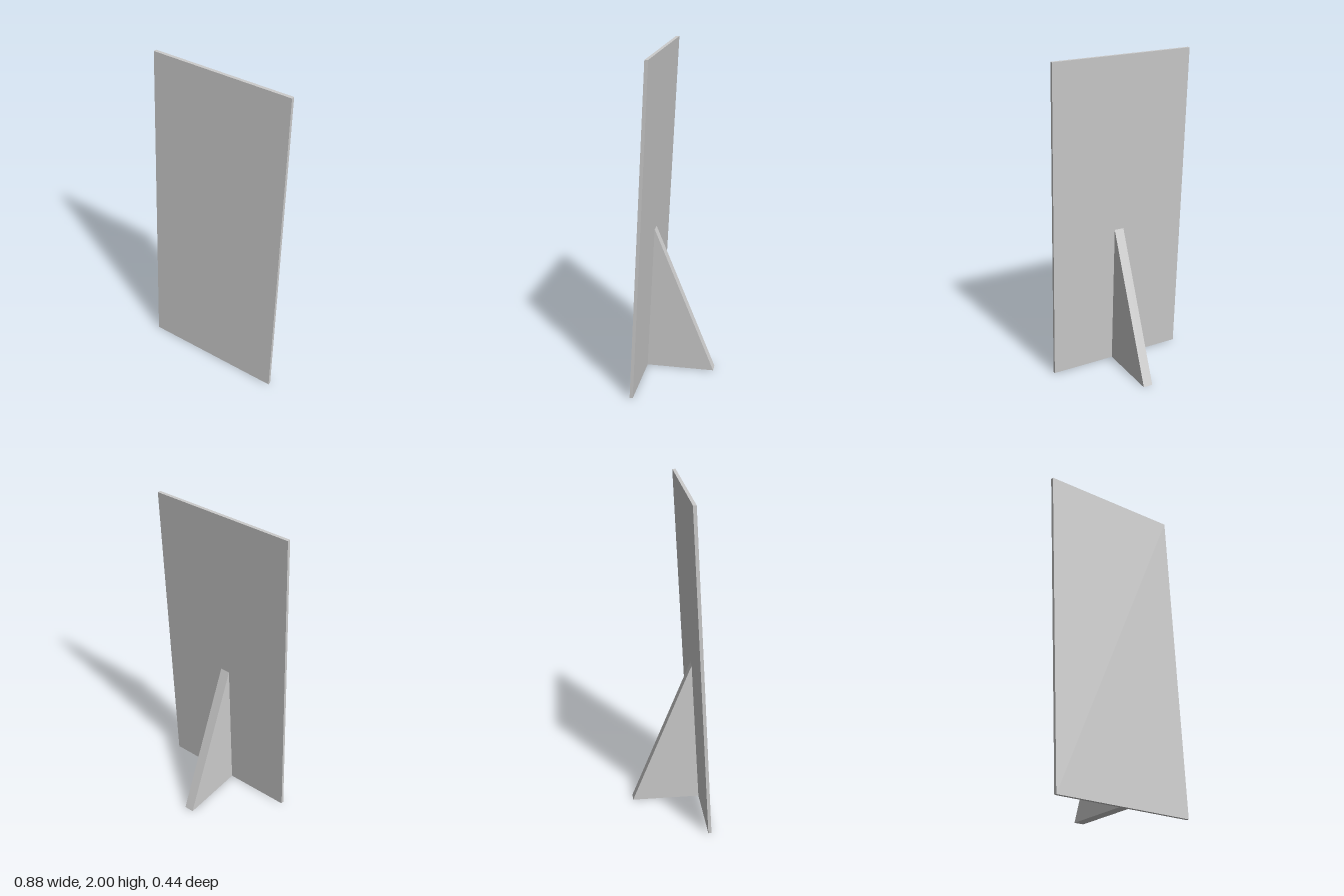
import * as THREE from 'three';

const material = new THREE.MeshStandardMaterial({ color: 0xcccccc, flatShading: true });

// Extrude a side profile of [z, y] points across x, centred on x = 0
function sidePart(name, points, width) {
  const shape = new THREE.Shape(points.map(([z, y]) => new THREE.Vector2(z, y)));
  const geometry = new THREE.ExtrudeGeometry(shape, { depth: width, bevelEnabled: false });
  geometry.translate(0, 0, -width / 2);
  geometry.rotateY(-Math.PI / 2);
  const mesh = new THREE.Mesh(geometry, material);
  mesh.name = name;
  return mesh;
}

export function createModel() {
  const group = new THREE.Group();
  group.name = 'standingPanel';

  // Thin panel leaning slightly backwards
  group.add(sidePart('panel', [[0.2, 0], [0.219, 0], [0.102, 2], [0.082, 2]], 0.88));

  // Triangular support behind the panel
  group.add(sidePart('backSupport', [[-0.219, 0], [0.2, 0], [0.146, 0.92]], 0.06));

  return group;
}
